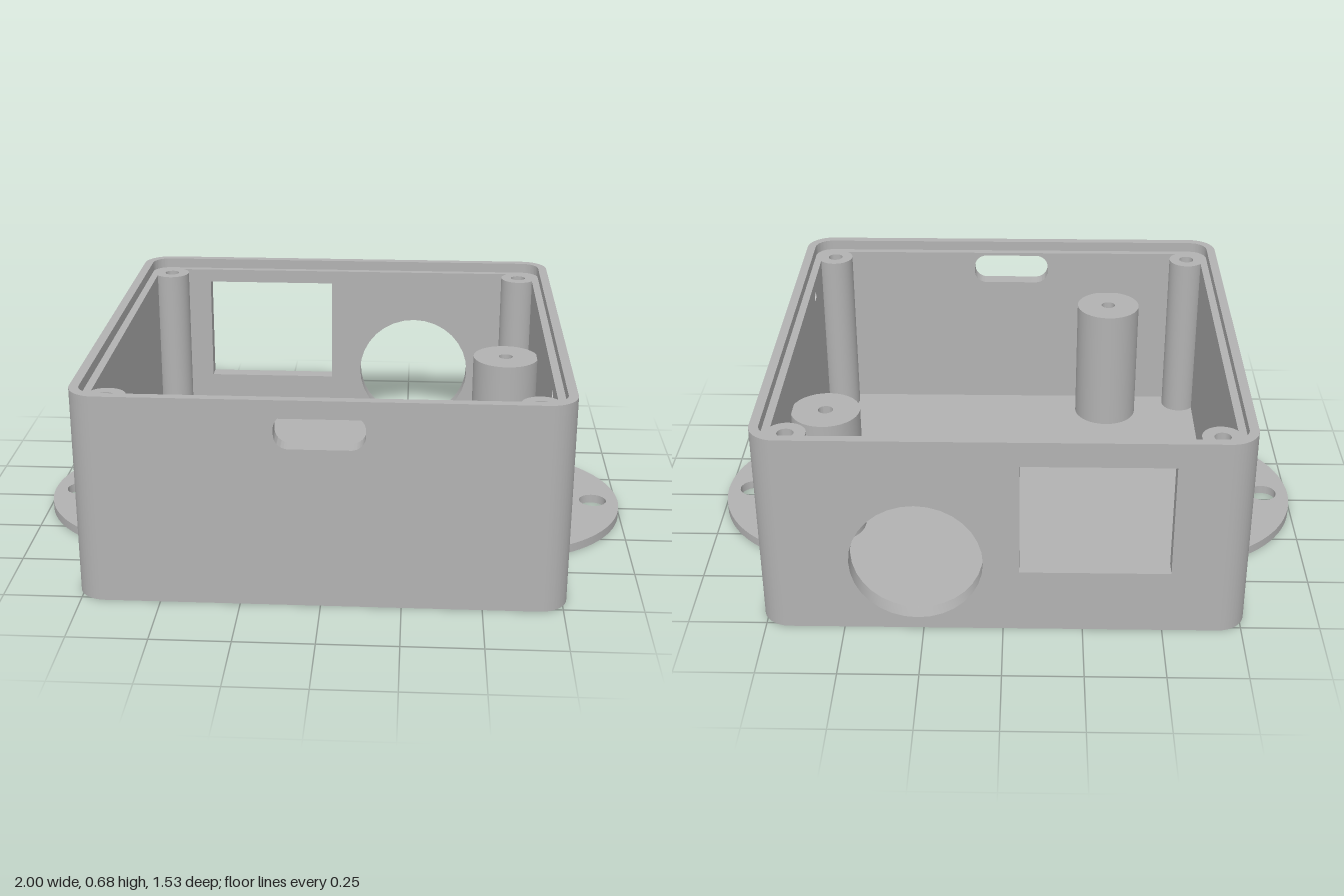
import * as THREE from 'three';
import { toCreasedNormals } from 'three/addons/utils/BufferGeometryUtils.js';

const HALF = 0.765, RADIUS = 0.09, WALL = 0.055;
const FLOOR = 0.03, STEP = 0.645, TOP = 0.68;
const STRAIGHT = HALF - RADIUS;

// Rounded rectangle between two corners
function roundedRect(x0, y0, x1, y1, r, Type = THREE.Shape) {
  const s = new Type();
  s.absarc(x1 - r, y0 + r, r, -Math.PI / 2, 0);
  s.absarc(x1 - r, y1 - r, r, 0, Math.PI / 2);
  s.absarc(x0 + r, y1 - r, r, Math.PI / 2, Math.PI);
  s.absarc(x0 + r, y0 + r, r, Math.PI, Math.PI * 1.5);
  s.closePath();
  return s;
}

function circle(x, y, r, Type = THREE.Path) {
  return new Type().absarc(x, y, r, 0, Math.PI * 2);
}

function extrude(shape, depth) {
  return toCreasedNormals(
    new THREE.ExtrudeGeometry(shape, { depth, bevelEnabled: false, curveSegments: 16 }), 0.6);
}

// Plan outline extruded upwards from y0 to y1
function slab(shape, y0, y1) {
  return extrude(shape, y1 - y0).rotateX(-Math.PI / 2).translate(0, y0, 0);
}

export function createModel() {
  const model = new THREE.Group();
  const grey = new THREE.MeshStandardMaterial({ color: 0xb2b2b2 });
  grey.name = 'grey plastic';

  function add(name, geometry, parent = model) {
    const mesh = new THREE.Mesh(geometry, grey);
    mesh.name = name;
    parent.add(mesh);
    return mesh;
  }

  // Floor plate
  add('floor', slab(roundedRect(-HALF, -HALF, HALF, HALF, RADIUS), 0, FLOOR));

  // Openings of each wall, seen from outside
  const rect = new THREE.Path();
  rect.moveTo(0.05, 0.215).lineTo(0.52, 0.215).lineTo(0.52, 0.597).lineTo(0.05, 0.597).closePath();
  const walls = [
    ['frontWall', [roundedRect(-0.14, 0.524, 0.137, 0.634, 0.045, THREE.Path)]],
    ['rightWall', [circle(-0.43, 0.59, 0.018)]],
    ['backWall', [rect, circle(-0.27, 0.247, 0.208)]],
    ['leftWall', []],
  ];
  walls.forEach(([name, holes], i) => {
    const side = new THREE.Group();
    side.name = name;
    side.rotation.y = i * Math.PI / 2;
    model.add(side);

    // Flat panel with its openings
    const panel = new THREE.Shape();
    panel.moveTo(-STRAIGHT, FLOOR).lineTo(STRAIGHT, FLOOR)
      .lineTo(STRAIGHT, STEP).lineTo(-STRAIGHT, STEP).closePath();
    panel.holes.push(...holes);
    add(name + 'Panel', extrude(panel, WALL).translate(0, 0, HALF - WALL), side);

    // Rounded corner beside the panel
    const corner = new THREE.Shape();
    corner.absarc(STRAIGHT, -STRAIGHT, RADIUS, -Math.PI / 2, 0);
    corner.absarc(STRAIGHT, -STRAIGHT, RADIUS - WALL, 0, -Math.PI / 2, true);
    corner.closePath();
    add('roundedCorner', slab(corner, FLOOR, STEP), side);

    // Screw post in the corner
    const post = circle(0.66, -0.66, 0.063, THREE.Shape);
    post.holes.push(circle(0.66, -0.66, 0.026));
    add('cornerPost', slab(post, FLOOR, STEP), side);
  });

  // Thin rim around the lid recess
  const rim = roundedRect(-HALF, -HALF, HALF, HALF, RADIUS);
  const inner = HALF - 0.03;
  rim.holes.push(roundedRect(-inner, -inner, inner, inner, RADIUS - 0.03, THREE.Path));
  add('rim', slab(rim, STEP, TOP));

  // Round standoffs with screw holes
  for (const [x, z] of [[0.6, -0.225], [-0.37, 0.6]]) {
    const standoff = circle(x, -z, 0.115, THREE.Shape);
    standoff.holes.push(circle(x, -z, 0.025));
    add('standoff', slab(standoff, FLOOR, 0.482));
  }

  // Rounded mounting ears
  const earCentre = 0.584, earRadius = 0.416;
  const angle = Math.acos((HALF - earCentre) / earRadius);
  for (const turn of [0, Math.PI]) {
    const ear = new THREE.Shape();
    ear.absarc(earCentre, 0, earRadius, -angle, angle);
    ear.closePath();
    ear.holes.push(circle(0.912, 0, 0.047));
    add('mountingEar', slab(ear, 0, 0.03)).rotation.y = turn;
  }
  return model;
}
